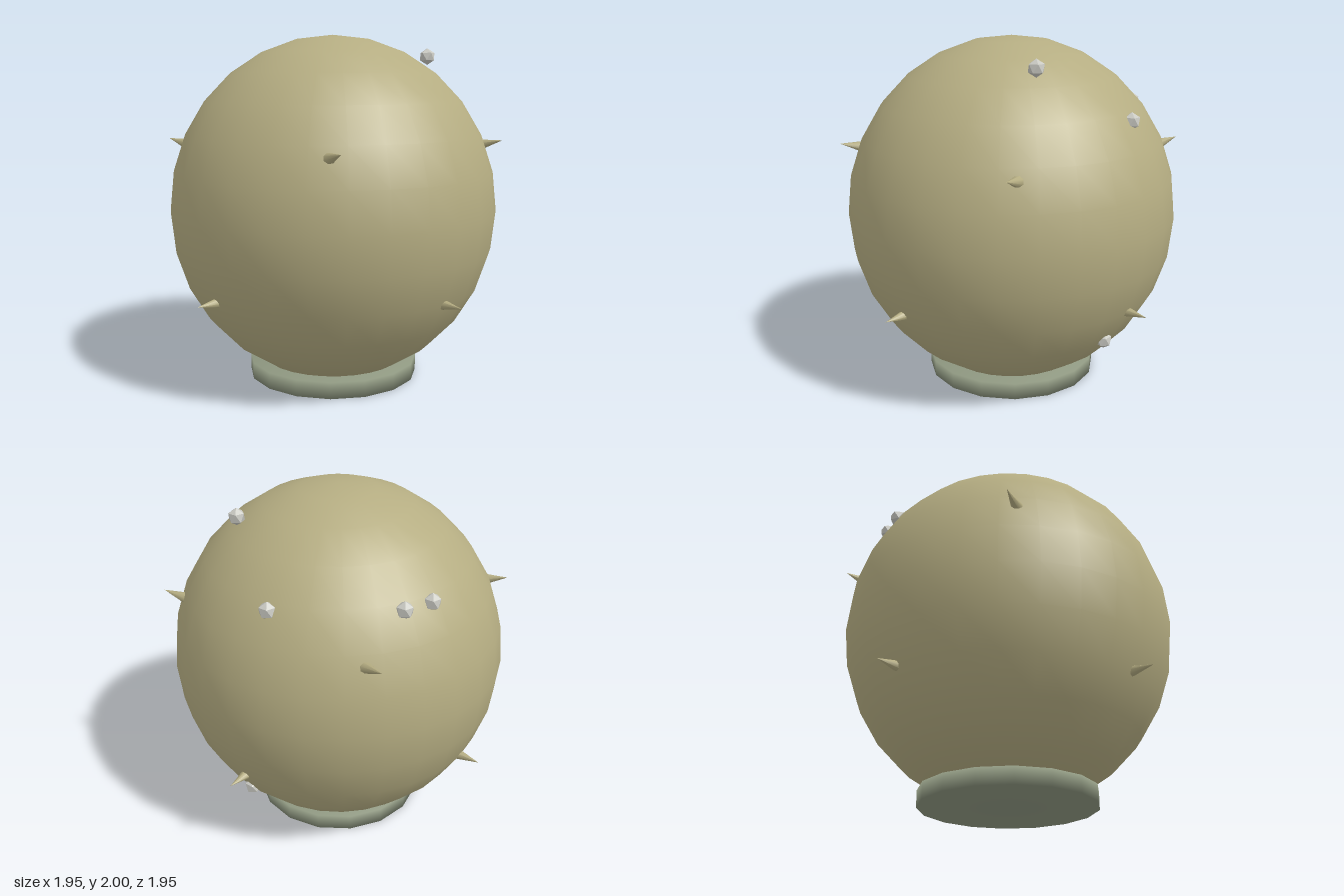
import * as THREE from 'three';
import { mergeVertices } from 'three/addons/utils/BufferGeometryUtils.js';

const mat = (name, color, extra = {}) => {
  const m = new THREE.MeshStandardMaterial({ color, ...extra });
  m.name = name;
  return m;
};

export function createModel() {
  const group = new THREE.Group();
  const olive = mat('olive skin', 0xb5ad82);
  const greyGreen = mat('grey green base', 0x8f9881);
  const paleGrey = mat('pale grey stone', 0xc9c9c2, { flatShading: true });

  const add = (name, geometry, material) => {
    const mesh = new THREE.Mesh(geometry, material);
    mesh.name = name;
    group.add(mesh);
    return mesh;
  };

  // Slightly tall round body
  const bodyGeometry = new THREE.SphereGeometry(0.95, 28, 14);
  bodyGeometry.scale(1, 1 / 0.95, 1);
  add('body', bodyGeometry, olive).position.y = 1;

  // Disc foot with soft shading across its rim
  let baseGeometry = new THREE.CylinderGeometry(0.5, 0.5, 0.095, 16);
  baseGeometry.deleteAttribute('normal');
  baseGeometry.deleteAttribute('uv');
  baseGeometry = mergeVertices(baseGeometry);
  baseGeometry.computeVertexNormals();
  add('base', baseGeometry, greyGreen).position.y = 0.0475;

  // Thorns: a cone from a root point to a tip
  const up = new THREE.Vector3(0, 1, 0);
  const addThorn = (root, tip) => {
    const a = new THREE.Vector3(...root);
    const b = new THREE.Vector3(...tip);
    const dir = b.clone().sub(a);
    const thorn = add('thorn', new THREE.ConeGeometry(0.032, dir.length(), 8), olive);
    thorn.position.copy(a).add(b).multiplyScalar(0.5);
    thorn.quaternion.setFromUnitVectors(up, dir.normalize());
  };
  for (const s of [-1, 1]) {
    // Lower ring
    addThorn([s * 0.83, 0.573, 0], [s * 0.975, 0.573, 0]);
    addThorn([0, 0.573, s * 0.83], [0, 0.573, s * 0.975]);
    // Upper ring
    for (const t of [-1, 1]) addThorn([s * 0.604, 1.37, t * 0.61], [s * 0.645, 1.4, t * 0.737]);
  }

  // Small faceted stones, each with a corner pointing up
  const stoneGeometry = new THREE.IcosahedronGeometry(0.048, 0);
  stoneGeometry.rotateZ(Math.atan(2 / (1 + Math.sqrt(5))));
  const stones = [
    [0.462, 1.878, 0.318],
    [0.747, 1.586, -0.122],
    [0.204, 1.597, -0.732],
    [0.361, 1.597, -0.67],
    [0.741, 0.393, 0.058],
  ];
  for (const p of stones) add('stone', stoneGeometry, paleGrey).position.set(...p);

  return group;
}
